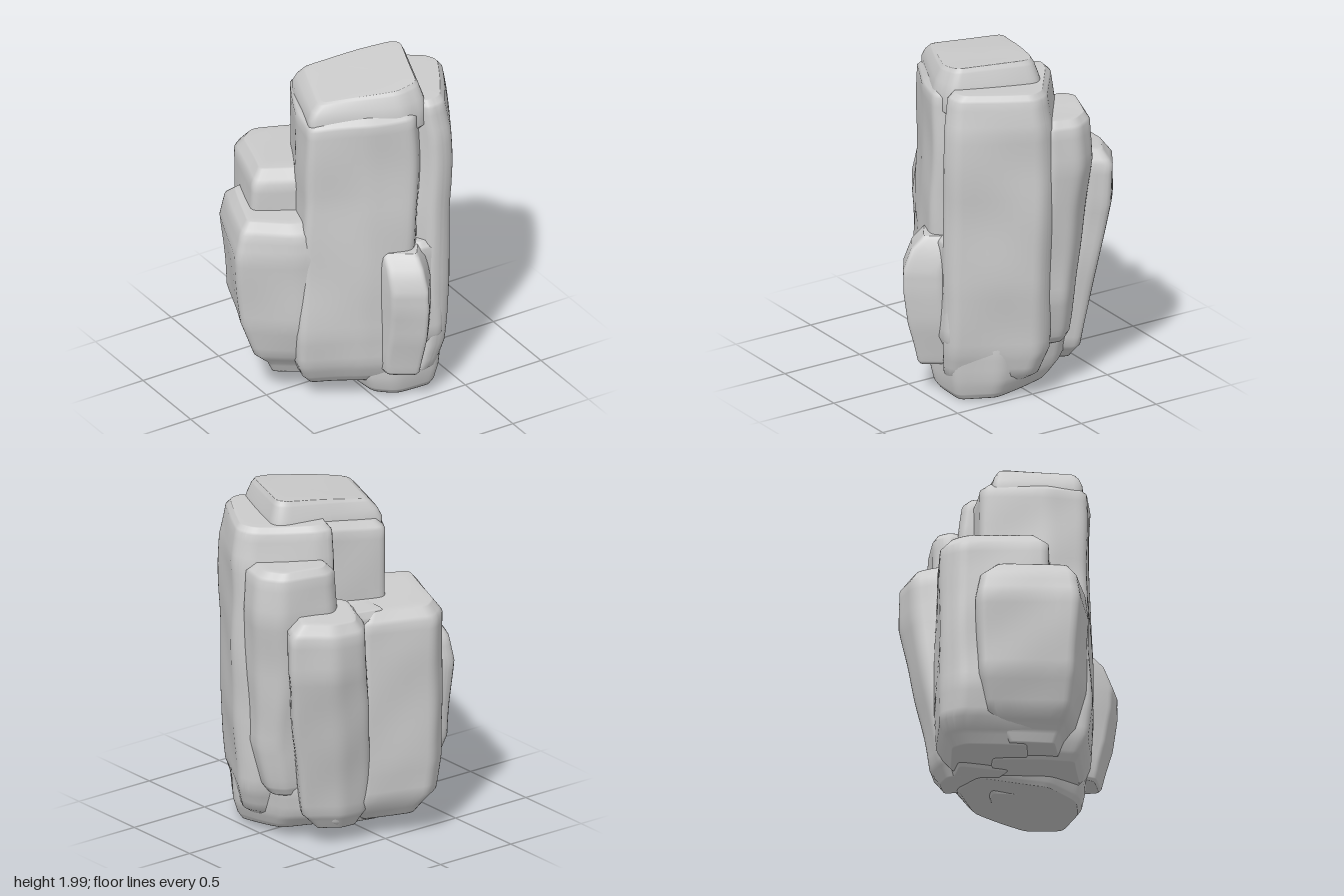
import * as THREE from 'three';

const material = new THREE.MeshStandardMaterial({ color: 0xcccccc, roughness: 0.9 });

// Outline with rounded corners and evenly divided edges, wound one way
function outline(corners, radius) {
  const p = corners.map(([x, z]) => new THREE.Vector2(x, z));
  if (THREE.ShapeUtils.area(p) < 0) p.reverse();
  const cut = (a, b) => a.clone().lerp(b, Math.min(0.4, radius / a.distanceTo(b)));
  const ring = [];
  p.forEach((c, i) => {
    const prev = p[(i + p.length - 1) % p.length], next = p[(i + 1) % p.length];
    ring.push(...new THREE.QuadraticBezierCurve(cut(c, prev), c, cut(c, next)).getPoints(4));
    const a = cut(c, next), b = cut(next, c);
    for (let k = 1; k < 6; k++) ring.push(a.clone().lerp(b, k / 6));
  });
  return ring;
}

// Gentle weathering of the stone surface
function weather(v, amount) {
  const { x, y, z } = v;
  v.x += amount * (Math.sin(7 * y + 9 * z) + 0.6 * Math.sin(12 * y - 11 * z + 1));
  v.z += amount * (Math.sin(6 * y - 8 * x + 2) + 0.6 * Math.sin(11 * y + 12 * x));
  v.y += amount * Math.sin(9 * x + 7 * z + 1);
  return v;
}

// Stone column lofted through levels [y, scale, dx, dz], with soft rims; tilt slopes its top, baseTilt its underside
function column(name, corners, levels, { radius = 0.045, bevel = 0.04, tilt = [0, 0], baseTilt = [0, 0], rough = 0.004 } = {}) {
  const ring = outline(corners, radius), n = ring.length;
  const mid = ring.reduce((s, q) => s.add(q), new THREE.Vector2()).divideScalar(n);
  const size = ring.reduce((s, q) => s + q.distanceTo(mid), 0) / n;
  const y0 = levels[0][0], y1 = levels.at(-1)[0];
  const rim = ([y, s, dx, dz], dir) => [[0, 1], [0.3, 0.7], [0.65, 0.35], [0.9, 0.1], [1, 0]].map(([inset, drop]) =>
    [y + dir * drop * bevel, s * (1 - inset * bevel / size), dx, dz]);
  const flat = ([y, s, dx, dz]) => [0.6, 0.3, 0].map(k => [y, s * k, dx, dz]);
  const full = levels.map(([y, s = 1, dx = 0, dz = 0]) => [y, s, dx, dz]);
  const first = full[0], last = full.at(-1);
  const bottom = [...rim(first, 1), ...flat(first)].reverse();
  const top = [...rim(last, -1), ...flat(last)];
  const body = [bottom.at(-1), ...full.slice(1, -1), top[0]];
  const rows = [...bottom.slice(0, -1)];
  for (let i = 0; i + 1 < body.length; i++) {
    const steps = Math.max(1, Math.ceil((body[i + 1][0] - body[i][0]) / 0.06));
    for (let k = 0; k < steps; k++)
      rows.push(body[i].map((a, c) => THREE.MathUtils.lerp(a, body[i + 1][c], k / steps)));
  }
  rows.push(...top);

  const pos = [], index = [];
  rows.forEach(([y, s, dx, dz], r) => {
    const t = THREE.MathUtils.clamp((y - y0) / (y1 - y0), 0, 1);
    const up = t ** 4, down = (1 - t) ** 4;
    ring.forEach((q, j) => {
      const rx = (q.x - mid.x) * s, rz = (q.y - mid.y) * s;
      const lift = rx * (up * tilt[0] + down * baseTilt[0]) + rz * (up * tilt[1] + down * baseTilt[1]);
      const v = new THREE.Vector3(mid.x + rx + dx, y + lift, mid.y + rz + dz);
      pos.push(...weather(v, rough).toArray());
      if (r + 1 < rows.length) {
        const a = r * n + j, b = r * n + (j + 1) % n;
        index.push(a, a + n, b, b, a + n, b + n);
      }
    });
  });
  const geometry = new THREE.BufferGeometry();
  geometry.setAttribute('position', new THREE.Float32BufferAttribute(pos, 3));
  geometry.setIndex(index);
  geometry.computeVertexNormals();
  const mesh = new THREE.Mesh(geometry, material);
  mesh.name = name;
  return mesh;
}

export function createModel() {
  const rock = new THREE.Group();
  rock.name = 'rock';
  rock.add(
    // Tall core and its slanted cap
    column('mainColumn',
      [[-0.14, -0.34], [0.2, -0.23], [0.46, -0.1], [0.29, 0.36], [0.2, 0.47], [-0.05, 0.38], [-0.365, 0.215], [-0.31, 0.0]],
      [[0.11, 0.88, -0.05, -0.02], [0.25, 0.98, -0.05, -0.01], [0.45, 1.02, -0.04], [0.9, 1, -0.025], [1.3, 0.99], [1.84, 0.99]],
      { tilt: [0.07, 0], bevel: 0.05 }),
    column('cap',
      [[-0.14, -0.24], [0.4, -0.1], [0.44, -0.05], [0.29, 0.39], [0.15, 0.4], [-0.3, 0.19]],
      [[1.7, 1.1], [1.83, 1.1], [1.885, 1.04], [1.965, 0.95]], { tilt: [0.13, 0], bevel: 0.025, rough: 0.003 }),
    // Right hand columns
    column('leftSideColumn',
      [[0.2, -0.31], [0.3, -0.29], [0.63, -0.06], [0.665, 0.04], [0.43, 0.47], [0.31, 0.485], [0.26, 0.36], [0.05, 0.1]],
      [[0.06, 0.7, -0.09, 0.03], [0.15, 0.85, -0.06, 0.015], [0.3, 0.95, -0.03], [0.7, 1, -0.015],
        [1.3, 1], [1.65, 0.99], [1.87, 0.92, -0.015]]),
    column('steppedColumn',
      [[0.22, -0.36], [0.31, -0.43], [0.6, -0.34], [0.69, -0.2], [0.645, -0.01], [0.25, -0.1]],
      [[0.3, 0.65, -0.04, 0.06], [0.6, 0.74, 0.0, 0.06], [1.1, 0.92, -0.01, 0.02], [1.4, 1], [1.68, 0.94]], { bevel: 0.05 }),
    // Back columns, narrowing towards the ground
    column('backLeftColumn',
      [[0.13, -0.49], [0.22, -0.61], [0.43, -0.6], [0.655, -0.45], [0.58, -0.32], [0.2, -0.15], [0.05, -0.3]],
      [[0.1, 0.72, -0.13, 0.1], [0.2, 0.82, -0.13, 0.1], [0.6, 0.92, -0.09, 0.06], [1.1, 0.99, -0.02, 0.01], [1.41, 0.94]],
      { bevel: 0.07, tilt: [0, 0.15] }),
    column('backRightColumn',
      [[-0.255, -0.635], [0.14, -0.49], [0.2, -0.2], [-0.2, 0.08], [-0.54, -0.1], [-0.37, -0.56]],
      [[0.12, 0.84, 0.05, 0.01], [0.25, 0.95, 0.03], [0.45, 1.01, 0.01], [1.1, 1], [1.38, 0.98]],
      { bevel: 0.07, tilt: [0, 0.06] }),
    // Stone filling the groove between the back columns
    column('backCore',
      [[-0.05, -0.5], [0.14, -0.46], [0.35, -0.49], [0.45, -0.2], [-0.1, -0.1]],
      [[0.1, 0.9, -0.03, 0.04], [0.4, 0.97], [1.38, 1]], { bevel: 0.05 }),
    // Low outer slab
    column('rightSideSlab',
      [[-0.5, -0.5], [-0.39, -0.485], [-0.2, 0.0], [-0.3, 0.25], [-0.42, 0.21], [-0.71, 0.01]],
      [[0.13, 0.58, 0.1, 0.02], [0.28, 0.8, 0.07, 0.01], [0.5, 0.95, 0.03], [0.95, 1], [1.16, 0.93, 0.01]],
      { bevel: 0.07 }),
    // Wedge-topped block against the front, and the narrow step beside it
    column('frontBlock',
      [[0.0, 0.25], [0.0, 0.53], [0.17, 0.65], [0.29, 0.48], [0.29, 0.25]],
      [[0.19, 0.85, 0, -0.07], [0.3, 0.92, 0, -0.06], [0.45, 0.97, 0, -0.025], [0.65, 1], [0.78, 1],
        [0.9, 0.97, 0, -0.05], [0.97, 0.93, 0.005, -0.1]],
      { radius: 0.025, bevel: 0.02, rough: 0.003 }),
    column('frontStep', [[0.15, 0.25], [0.2, 0.46], [0.37, 0.48], [0.42, 0.25]],
      [[0.2, 0.85, 0, -0.05], [0.38, 0.98], [0.98, 0.96]]),
    // Tapered foot, its underside rising towards the back
    column('foot',
      [[-0.05, 0.34], [0.1, 0.42], [0.38, 0.44], [0.53, 0.22], [0.5, -0.2], [0.3, -0.42], [0.05, -0.38], [-0.12, 0.1]],
      [[0.045, 0.85, 0, 0.03], [0.15, 0.95, 0, 0.01], [0.32, 1], [0.6, 0.9]],
      { bevel: 0.03, baseTilt: [-0.05, -0.13] }),
  );
  return rock;
}
